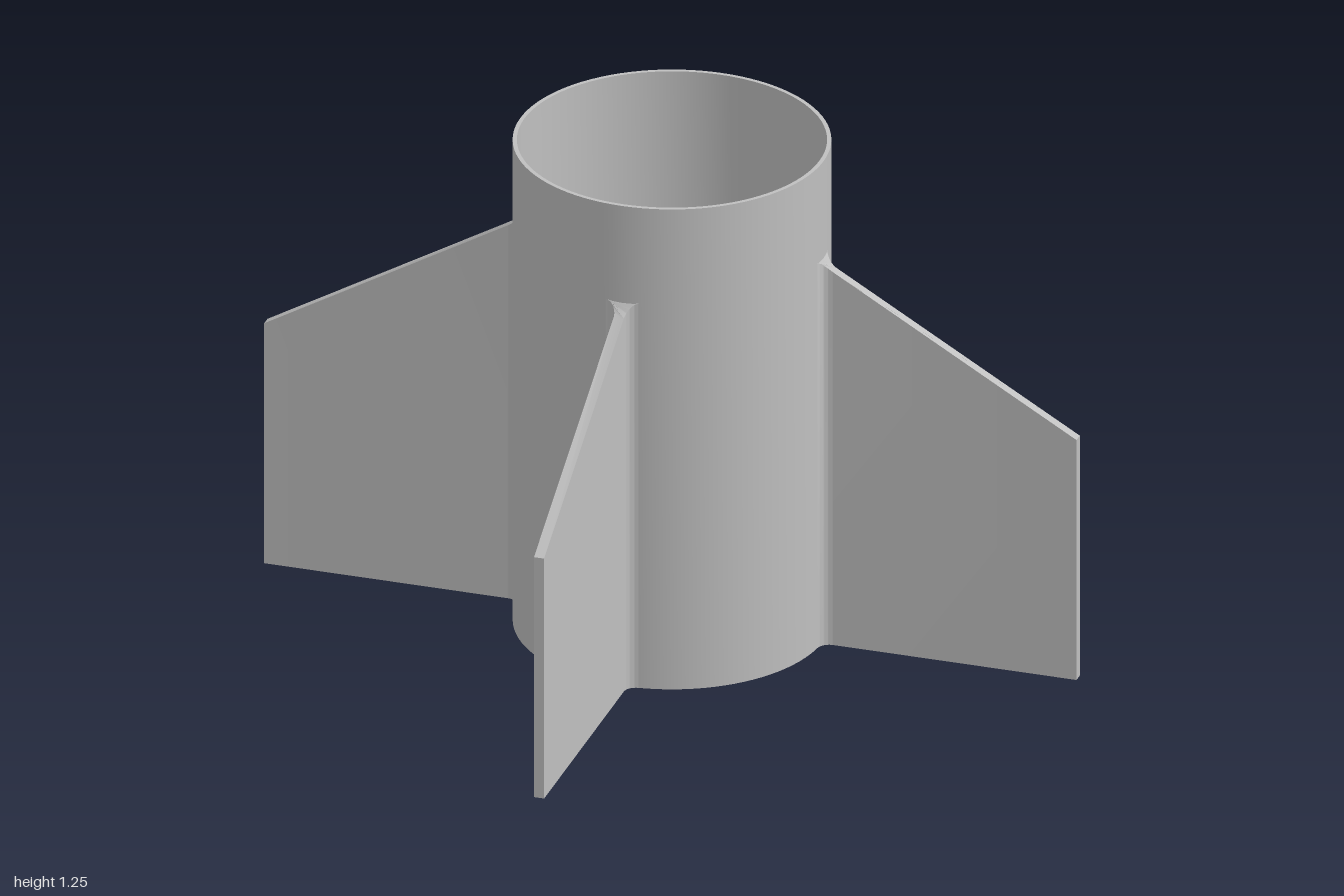
import * as THREE from 'three';
import { toCreasedNormals } from 'three/addons/utils/BufferGeometryUtils.js';

const R = 0.373, INNER = 0.363, HEIGHT = 1.25, FLOOR = 0.6;
const FIN = 0.0125, FILLET = 0.03;

// Height of a fin's sloped upper edge, with a small flare at the root
function finTop(x) {
  const flare = Math.max(0, R + FILLET - x);
  return 0.625 + (1 - x) * 0.577 + 12 * flare * flare;
}

// Plan outline of a fin with rounded fillets, extruded upward and cut to the slope
function finGeometry() {
  const cz = FIN + FILLET, cx = Math.sqrt((R + FILLET) ** 2 - cz ** 2);
  const a = Math.atan2(cz, cx) + Math.PI;
  const s = new THREE.Shape();
  s.moveTo(0.366, -0.038);
  s.absarc(cx, -cz, FILLET, 2 * Math.PI - a, Math.PI / 2, true);
  s.lineTo(1, -FIN);
  s.lineTo(1, FIN);
  s.lineTo(cx, FIN);
  s.absarc(cx, cz, FILLET, 1.5 * Math.PI, a, true);
  s.lineTo(0.366, 0.038);
  const g = new THREE.ExtrudeGeometry(s, { depth: 1, bevelEnabled: false, curveSegments: 10 });
  g.rotateX(-Math.PI / 2);
  const p = g.attributes.position;
  for (let i = 0; i < p.count; i++) {
    if (p.getY(i) > 0.5) p.setY(i, finTop(p.getX(i)));
  }
  return toCreasedNormals(g, 0.6);
}

export function createModel() {
  const model = new THREE.Group();
  const grey = new THREE.MeshStandardMaterial({ color: 0xbfbfbf });
  grey.name = 'light grey';
  const add = (name, geometry) => {
    const mesh = new THREE.Mesh(geometry, grey);
    mesh.name = name;
    model.add(mesh);
    return mesh;
  };

  // Thin-walled body tube
  const wall = [[INNER, 0], [R, 0], [R, HEIGHT], [INNER, HEIGHT], [INNER, FLOOR - 0.01]]
    .map(([x, y]) => new THREE.Vector2(x, y));
  add('bodyTube', toCreasedNormals(new THREE.LatheGeometry(wall, 96), 0.6));

  // Thick base with four round through-holes
  const disc = new THREE.Shape().absarc(0, 0, INNER, 0, Math.PI * 2);
  for (let i = 0; i < 4; i++) {
    const a = i * Math.PI / 2;
    disc.holes.push(new THREE.Path().absarc(0.188 * Math.cos(a), 0.188 * Math.sin(a), 0.09, 0, Math.PI * 2, true));
  }
  const base = new THREE.ExtrudeGeometry(disc, { depth: FLOOR, bevelEnabled: false, curveSegments: 48 });
  base.rotateX(-Math.PI / 2);
  add('base', toCreasedNormals(base, 0.6));

  // Arched loop standing on the base
  const arch = new THREE.Shape();
  arch.absarc(0, 0, 0.075, 0, Math.PI);
  arch.absarc(0, 0, 0.05, Math.PI, 0, true);
  const loop = new THREE.ExtrudeGeometry(arch, { depth: 0.05, bevelEnabled: false, curveSegments: 24 });
  loop.translate(0, 0, -0.025);
  add('loop', toCreasedNormals(loop, 0.6)).position.y = FLOOR;

  // Four fins around the body
  const fin = finGeometry();
  ['leftFin', 'backFin', 'rightFin', 'frontFin'].forEach((name, i) => {
    add(name, fin).rotation.y = i * Math.PI / 2;
  });
  return model;
}
